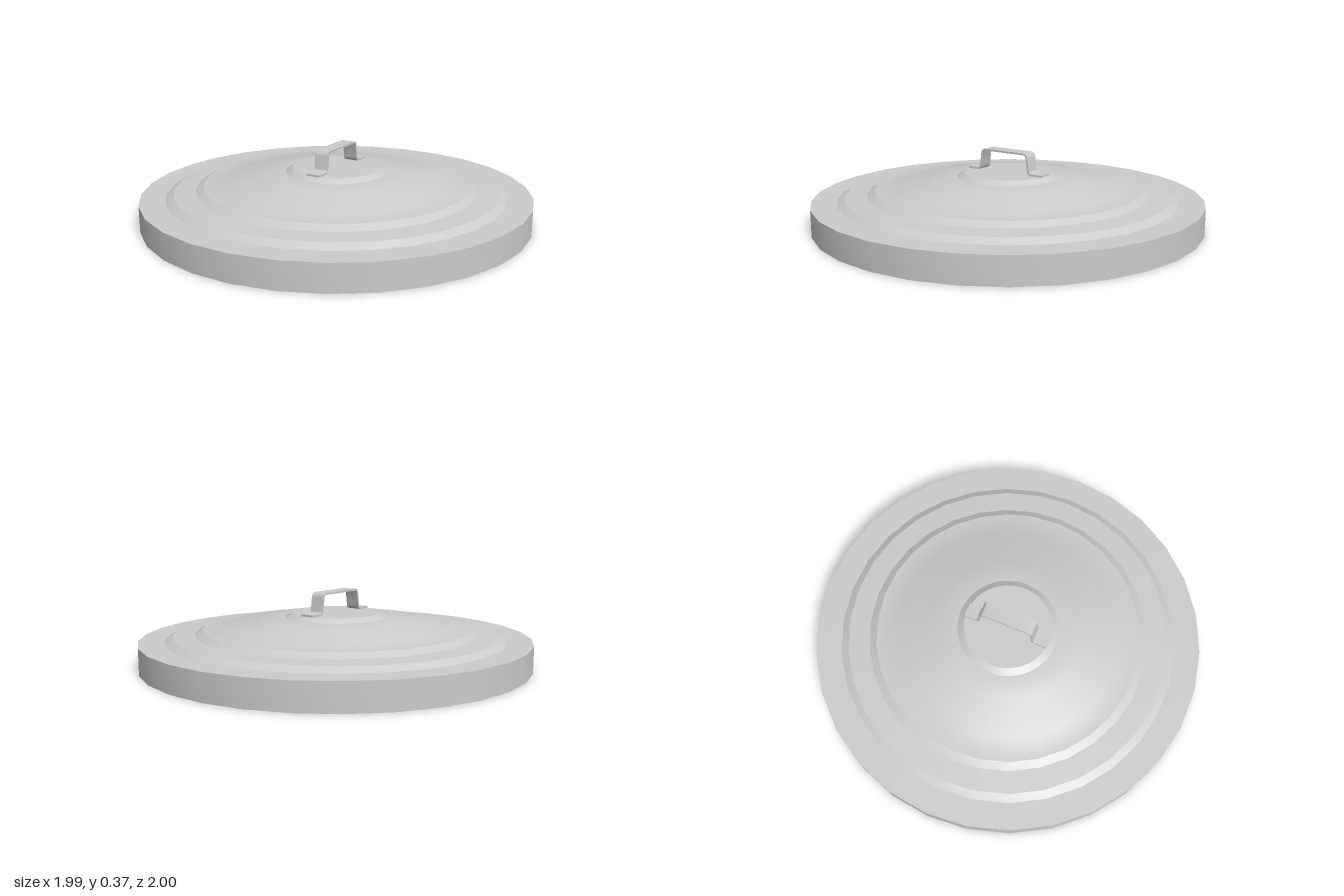
import * as THREE from 'three';
import { toCreasedNormals } from 'three/addons/utils/BufferGeometryUtils.js';

const SIDES = 30;
const TURN = THREE.MathUtils.degToRad(1);
const grey = new THREE.MeshStandardMaterial({ color: 0xcccccc, side: THREE.DoubleSide });

function addMesh(parent, name, geometry, crease = 0.4) {
  const mesh = new THREE.Mesh(toCreasedNormals(geometry, crease), grey);
  mesh.name = name;
  parent.add(mesh);
  return mesh;
}

// Thin sheet turned around the vertical axis from [radius, height] pairs
function turned(profile) {
  const points = profile.map(([r, y]) => new THREE.Vector2(r, y));
  return new THREE.LatheGeometry(points, SIDES, TURN);
}

// Closed outline of a strip of constant thickness along a flat path
function stripShape(path, thickness) {
  const pts = path.getPoints(4);
  const left = [], right = [];
  pts.forEach((p, i) => {
    const a = pts[Math.max(i - 1, 0)], b = pts[Math.min(i + 1, pts.length - 1)];
    const t = b.clone().sub(a).normalize();
    const n = new THREE.Vector2(-t.y, t.x).multiplyScalar(thickness / 2);
    left.push(p.clone().add(n));
    right.push(p.clone().sub(n));
  });
  return new THREE.Shape([...left, ...right.reverse()]);
}

export function createModel() {
  const lid = new THREE.Group();
  lid.name = 'lid';

  // Upright skirt, open underneath
  addMesh(lid, 'skirt', turned([[1, 0], [1, 0.134]]));

  // Flat rim, then a shallow dome rising in five rounded steps
  const steps = [
    [0.87, 0.134, 0.83, 0.157],
    [0.72, 0.163, 0.68, 0.186],
    [0.57, 0.191, 0.53, 0.212],
    [0.42, 0.217, 0.38, 0.236],
    [0.26, 0.242, 0.225, 0.263],
  ];
  const dome = [[1, 0.134]];
  for (const [r0, y0, r1, y1] of steps) dome.push([r0, y0], [r1, y1]);
  addMesh(lid, 'steppedDome', turned(dome), 0.45);

  // Flat disc closing the top
  addMesh(lid, 'topDisc', turned([[0.225, 0.263], [0, 0.263]]));

  // Bent strap handle with out-turned feet
  const path = new THREE.Path();
  path.moveTo(-0.225, 0.268);
  path.lineTo(-0.165, 0.268);
  path.quadraticCurveTo(-0.148, 0.268, -0.146, 0.285);
  path.lineTo(-0.137, 0.352);
  path.quadraticCurveTo(-0.135, 0.37, -0.117, 0.37);
  path.lineTo(0.117, 0.37);
  path.quadraticCurveTo(0.135, 0.37, 0.137, 0.352);
  path.lineTo(0.146, 0.285);
  path.quadraticCurveTo(0.148, 0.268, 0.165, 0.268);
  path.lineTo(0.225, 0.268);

  const width = 0.075;
  const strap = new THREE.ExtrudeGeometry(stripShape(path, 0.01), { depth: width, bevelEnabled: false });
  strap.translate(0, 0, -width / 2);
  strap.rotateY(Math.PI / 2);
  const handle = addMesh(lid, 'handle', strap, 0.6);
  handle.rotation.y = THREE.MathUtils.degToRad(-4);

  return lid;
}
